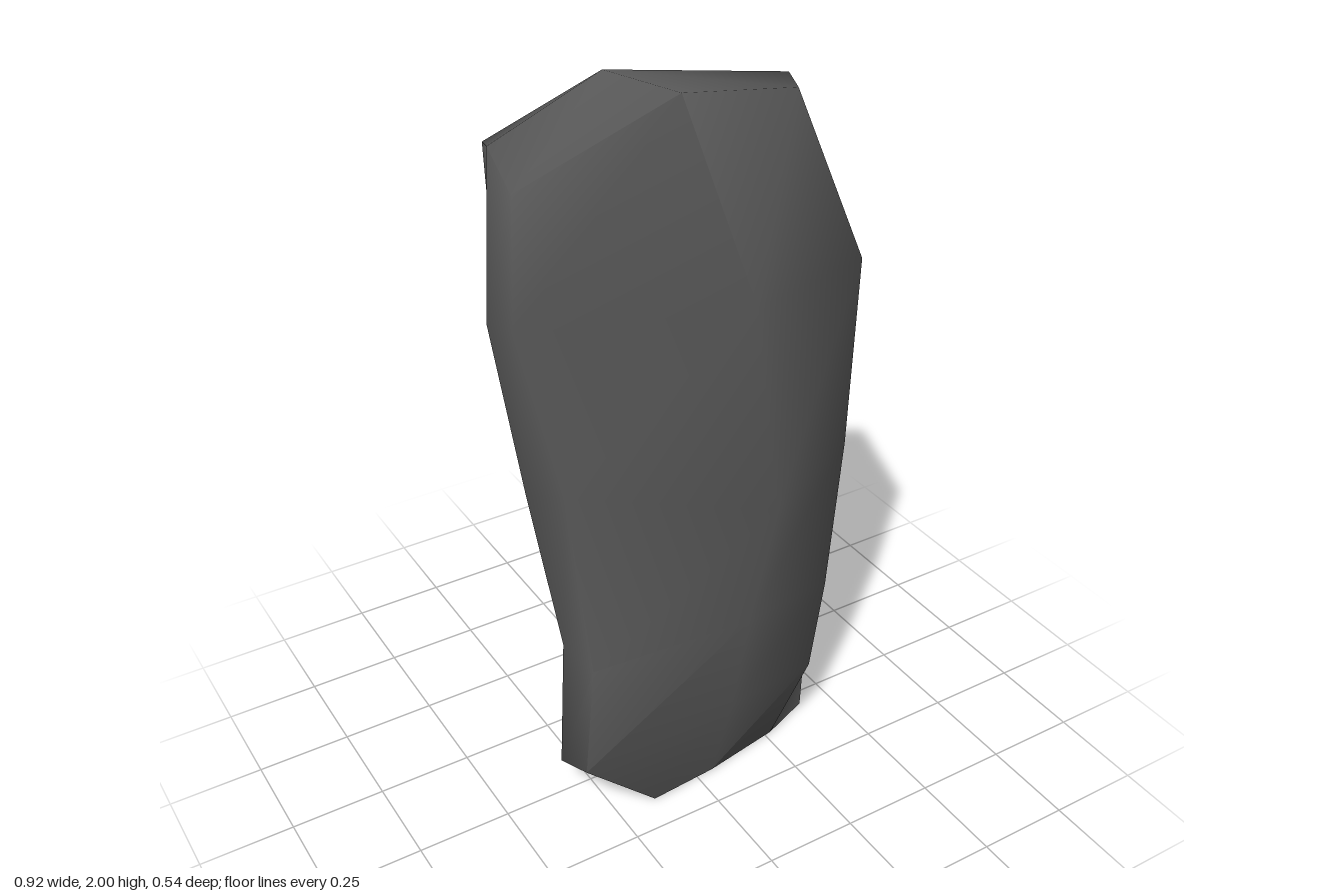
import * as THREE from 'three';
import { toCreasedNormals } from 'three/addons/utils/BufferGeometryUtils.js';

// Rings from foot to shoulder; corners run left edge, front, right edge, back
const RINGS = [
  [[-0.18, 0, 0], [-0.14, 0, 0.155], [0.05, 0, 0.14], [0.27, 0, 0.1], [0.41, 0, 0.045], [0.32, 0, -0.22], [0.07, 0, -0.18], [-0.153, 0, -0.13]],
  [[-0.345, 0.13, 0.02], [-0.35, 0.21, 0.17], [0.08, 0.25, 0.185], [0.35, 0.25, 0.155], [0.43, 0.25, 0.03], [0.29, 0.33, -0.2], [-0.04, 0.22, -0.27], [-0.22, 0.18, -0.13]],
  [[-0.33, 0.52, 0.03], [-0.29, 0.47, 0.11], [0.1, 0.55, 0.225], [0.38, 0.52, 0.165], [0.455, 0.52, 0.02], [0.35, 0.5, -0.15], [0, 0.55, -0.263], [-0.24, 0.52, -0.11]],
  [[-0.4, 0.98, 0.01], [-0.36, 1.03, 0.13], [0.14, 0.9, 0.27], [0.41, 0.95, 0.17], [0.453, 0.95, 0.02], [0.39, 1.08, -0.18], [0, 1.05, -0.26], [-0.3, 0.98, -0.13]],
  [[-0.46, 1.44, -0.015], [-0.43, 1.44, 0.05], [0.08, 1.45, 0.245], [0.445, 1.44, 0.145], [0.448, 1.45, 0.02], [0.385, 1.46, -0.1], [0, 1.57, -0.215], [-0.38, 1.44, -0.13]],
  [[-0.445, 1.86, 0.01], [-0.435, 1.78, 0.09], [-0.1, 1.97, 0.21], [0.285, 1.87, 0.08], [0.3, 1.885, 0.02], [0.24, 1.82, -0.1], [-0.18, 1.87, -0.155], [-0.4, 1.82, -0.11]],
];
const PEAK = [-0.21, 2, 0.08];
const BASE = [0.1, 0, 0];

function stoneGeometry() {
  const positions = [];
  const triangle = (a, b, c) => positions.push(...a, ...b, ...c);
  const sides = RINGS[0].length;
  const top = RINGS[RINGS.length - 1];
  for (let j = 0; j < sides; j++) {
    const k = (j + 1) % sides;
    // Side walls
    for (let i = 0; i < RINGS.length - 1; i++) {
      const [low, high] = [RINGS[i], RINGS[i + 1]];
      triangle(low[j], low[k], high[k]);
      triangle(low[j], high[k], high[j]);
    }
    // Slanted crown and flat underside
    triangle(top[j], top[k], PEAK);
    triangle(RINGS[0][k], RINGS[0][j], BASE);
  }
  const geometry = new THREE.BufferGeometry();
  geometry.setAttribute('position', new THREE.Float32BufferAttribute(positions, 3));
  return toCreasedNormals(geometry, 1.35);
}

export function createModel() {
  const group = new THREE.Group();
  group.name = 'standingStone';
  const stone = new THREE.MeshStandardMaterial({ color: 0x585858 });
  stone.name = 'dark grey stone';
  const mesh = new THREE.Mesh(stoneGeometry(), stone);
  mesh.name = 'stoneSlab';
  group.add(mesh);
  return group;
}
